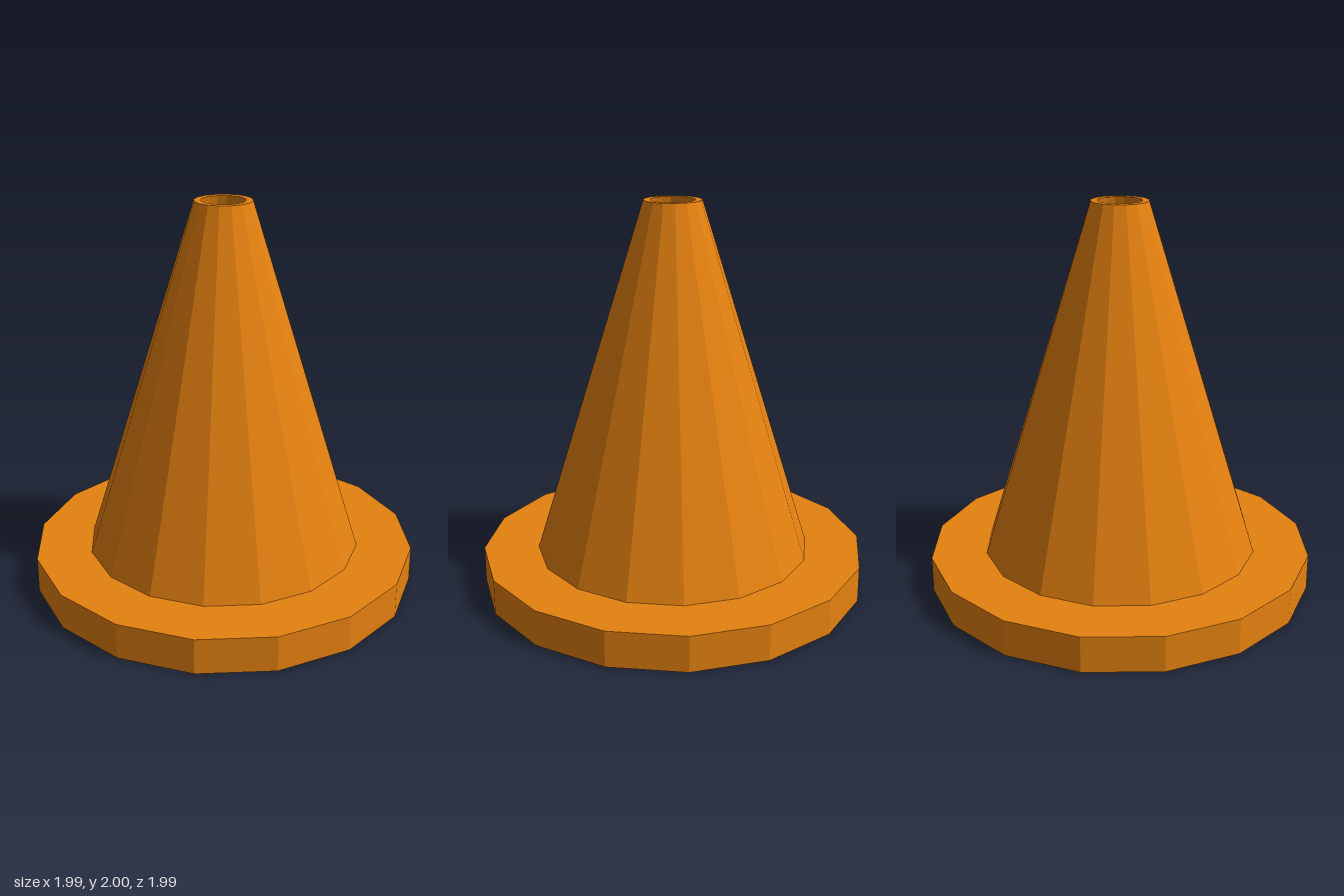
import * as THREE from 'three';

const SIDES = 16;
const BASE_TOP = 0.185;
const HEIGHT = 2;

// Faceted ring-shaped part turned from a profile of [radius, y] points
function turned(name, profile, material) {
  const points = profile.map(([r, y]) => new THREE.Vector2(r, y));
  const mesh = new THREE.Mesh(new THREE.LatheGeometry(points, SIDES), material);
  mesh.name = name;
  return mesh;
}

export function createModel() {
  const group = new THREE.Group();
  group.name = 'trafficCone';
  const orange = new THREE.MeshStandardMaterial({ color: 0xe58110, flatShading: true });

  // Flat base: straight bore, underside, rim and top ledge
  group.add(turned('base', [
    [0.545, BASE_TOP], [0.545, 0], [0.995, 0], [0.995, BASE_TOP], [0.71, BASE_TOP],
  ], orange));

  // Hollow tapering body: outer wall, top lip and inner wall
  group.add(turned('coneBody', [
    [0.71, BASE_TOP], [0.145, HEIGHT], [0.11, HEIGHT], [0.545, BASE_TOP],
  ], orange));

  return group;
}
